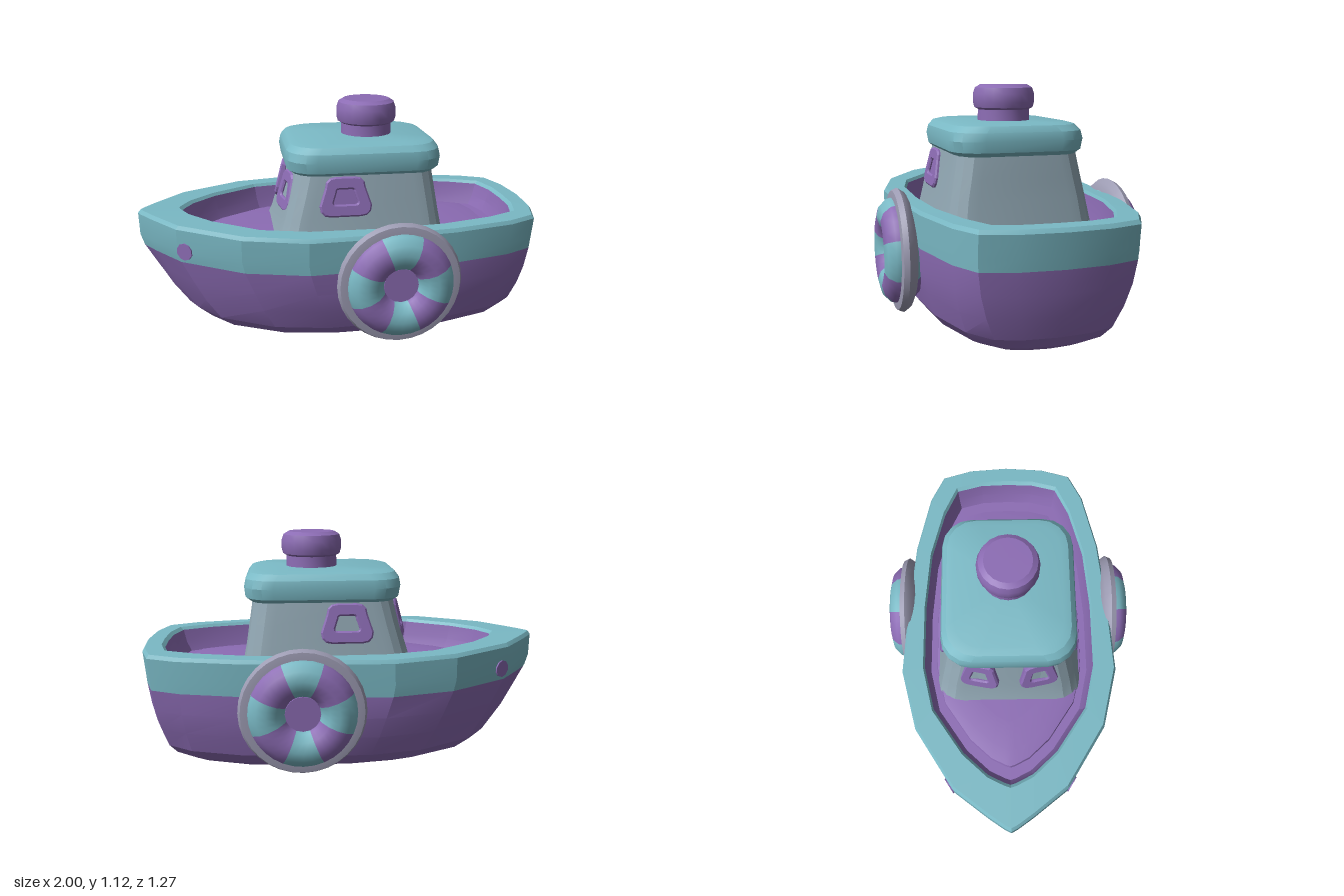
import * as THREE from 'three';
import { toCreasedNormals } from 'three/addons/utils/BufferGeometryUtils.js';

const material = (name, color) => {
  const m = new THREE.MeshStandardMaterial({ color });
  m.name = name;
  return m;
};

// Skin closed rings (counter-clockwise from above), bottom to top, with optional caps
function loft(rings, capBottom, capTop, crease = 0.3) {
  const n = rings[0].length, pos = rings.flat(2), idx = [];
  for (let r = 0; r < rings.length - 1; r++) {
    for (let i = 0; i < n; i++) {
      const j = (i + 1) % n, a = r * n + i, b = r * n + j;
      idx.push(a, b, b + n, a, b + n, a + n);
    }
  }
  const cap = (r, up) => {
    const c = pos.length / 3, ring = rings[r];
    for (let k = 0; k < 3; k++) pos.push(ring.reduce((s, p) => s + p[k], 0) / n);
    for (let i = 0; i < n; i++) {
      const a = r * n + i, b = r * n + (i + 1) % n;
      idx.push(c, ...(up ? [a, b] : [b, a]));
    }
  };
  if (capBottom) cap(0, false);
  if (capTop) cap(rings.length - 1, true);
  const g = new THREE.BufferGeometry();
  g.setAttribute('position', new THREE.Float32BufferAttribute(pos, 3));
  g.setIndex(idx);
  return toCreasedNormals(g, crease);
}

// Half outlines of the gunwale, bow (-x) to stern (+x), as [x, z]
const OUTER = [[-1, 0], [-0.985, 0.03], [-0.93, 0.11], [-0.8, 0.28], [-0.5, 0.47], [-0.2, 0.545], [0.15, 0.525],
  [0.5, 0.49], [0.8, 0.42], [0.94, 0.35], [0.985, 0.2], [1, 0]];
const INNER = [[-0.78, 0], [-0.77, 0.03], [-0.73, 0.11], [-0.62, 0.23], [-0.4, 0.38], [-0.18, 0.43], [0.15, 0.43],
  [0.45, 0.405], [0.7, 0.34], [0.85, 0.27], [0.885, 0.14], [0.89, 0]];

const mirrorRing = (half) => [...half, ...half.slice(1, -1).reverse().map(([x, y, z]) => [x, y, -z])];

// Hull ring between two x limits; round blends the pointed plan into an oval
function hullRing(y, bow, stern, width, round = 0) {
  return mirrorRing(OUTER.map(([u, z]) => {
    const oval = Math.pow(1 - Math.pow(Math.abs(u), 3), 1 / 2.2);
    const v = THREE.MathUtils.lerp(z / 0.545, Math.abs(u) === 1 ? 0 : oval, round);
    return [(bow + stern) / 2 + u * (stern - bow) / 2, y, v * width];
  }));
}
const sheer = (ring) => ring.map(([x, y, z]) => [x, y + 0.012 * Math.max(0, -x), z]);
const innerRing = (y, s) => mirrorRing(INNER.map(([x, z]) => [0.05 + (x - 0.05) * s, y, z * s]));

// Rounded rectangle ring for cabin and roof
function boxRing(y, x0, x1, hz, r) {
  const pts = [], cx = (x0 + x1) / 2, hx = (x1 - x0) / 2;
  for (let q = 0; q < 4; q++) {
    const sx = q === 0 || q === 3 ? 1 : -1, sz = q < 2 ? -1 : 1;
    for (let k = 0; k <= 4; k++) {
      const a = (q + k / 4) * Math.PI / 2;
      pts.push([cx + sx * (hx - r) + r * Math.cos(a), y, sz * (hz - r) - r * Math.sin(a)]);
    }
  }
  return pts;
}

// Rounded trapezoid outline for windows
function windowPath(Type, w, h, c) {
  const p = new Type(), b = w / 2, t = w / 2 - 0.12 * w, k = h / 2;
  p.moveTo(-b + c, -k);
  p.lineTo(b - c, -k);
  p.quadraticCurveTo(b, -k, b, -k + c);
  p.lineTo(t, k - c);
  p.quadraticCurveTo(t, k, t - c, k);
  p.lineTo(-t + c, k);
  p.quadraticCurveTo(-t, k, -t, k - c);
  p.lineTo(-b, -k + c);
  p.quadraticCurveTo(-b, -k, -b + c, -k);
  return p;
}

export function createModel() {
  const purple = material('purple', 0x8c6cb4);
  const teal = material('teal', 0x7ab9c5);
  const grey = material('blue grey', 0x8fa5b1);
  const lilac = material('lilac grey', 0x9c9bb2);
  const boat = new THREE.Group();
  boat.name = 'tugboat';
  const add = (name, geometry, mat, parent = boat) => {
    const m = new THREE.Mesh(geometry, mat);
    m.name = name;
    parent.add(m);
    return m;
  };

  // Hull
  add('lowerHull', loft([
    hullRing(0, -0.36, 0.7, 0.27, 0.8),
    hullRing(0.015, -0.57, 0.82, 0.36, 0.7),
    hullRing(0.05, -0.71, 0.885, 0.425, 0.55),
    hullRing(0.1, -0.78, 0.92, 0.47, 0.4),
    hullRing(0.2, -0.86, 0.95, 0.505, 0.2),
    hullRing(0.3, -0.92, 0.97, 0.53, 0.08),
    hullRing(0.405, -0.98, 0.985, 0.54),
  ], true, false), purple);
  add('gunwale', loft([
    hullRing(0.405, -0.98, 0.985, 0.54),
    hullRing(0.46, -0.997, 0.99, 0.543),
    sheer(hullRing(0.56, -1, 1, 0.545)),
    sheer(hullRing(0.578, -0.985, 0.988, 0.535)),
    sheer(innerRing(0.58, 1.02)),
    sheer(innerRing(0.565, 1)),
  ], false, false), teal);

  // Inner walls, deck and its raised middle
  add('deckWell', loft([
    sheer(innerRing(0.565, 1)), innerRing(0.5, 0.98), innerRing(0.45, 0.95),
  ], false, true), purple);
  add('raisedDeck', loft([
    innerRing(0.44, 0.88), innerRing(0.465, 0.87), innerRing(0.475, 0.78), innerRing(0.48, 0.6),
  ], false, true), purple);

  // Cabin and roof
  add('cabin', loft([
    boxRing(0.44, -0.35, 0.51, 0.37, 0.13),
    boxRing(0.5, -0.32, 0.5, 0.357, 0.13),
    boxRing(0.6, -0.29, 0.48, 0.338, 0.12),
    boxRing(0.7, -0.262, 0.465, 0.318, 0.12),
    boxRing(0.83, -0.23, 0.445, 0.295, 0.12),
  ], false, false), grey);
  add('roof', loft([
    boxRing(0.8, -0.235, 0.455, 0.295, 0.12),
    boxRing(0.82, -0.265, 0.483, 0.318, 0.14),
    boxRing(0.87, -0.272, 0.488, 0.326, 0.14),
    boxRing(0.91, -0.265, 0.48, 0.318, 0.14),
    boxRing(0.938, -0.245, 0.46, 0.295, 0.14),
    boxRing(0.948, -0.21, 0.43, 0.26, 0.13),
  ], true, true, 0.45), teal);

  // Chimney with its rounded cap
  const chimney = [[0.128, 0.93], [0.125, 1], [0.143, 1.01], [0.15, 1.035], [0.15, 1.075], [0.14, 1.105],
    [0.115, 1.12], [0, 1.121]].map(([r, y]) => new THREE.Vector2(r, y));
  add('chimney', toCreasedNormals(new THREE.LatheGeometry(chimney, 20), 0.5), purple).position.x = 0.155;

  // Windows: raised frame around a thin pane
  const addWindow = (name, x, y, z, yaw, tilt, w, h, pane) => {
    const g = new THREE.Group();
    g.name = name;
    const shape = windowPath(THREE.Shape, w, h, 0.045);
    shape.holes.push(windowPath(THREE.Path, w * 0.56, h * 0.5, 0.02));
    const frame = new THREE.ExtrudeGeometry(shape, {
      depth: 0.02, bevelEnabled: true, bevelSize: 0.008, bevelThickness: 0.008, bevelSegments: 1, curveSegments: 3,
    });
    add('windowFrame', frame, purple, g).position.z = -0.008;
    add('windowPane', new THREE.ShapeGeometry(windowPath(THREE.Shape, w * 0.65, h * 0.6, 0.02)), pane, g).position.z = 0.006;
    g.rotation.set(-tilt, yaw, 0, 'YXZ');
    g.position.set(x, y, z);
    boat.add(g);
  };
  addWindow('leftWindow', 0, 0.705, 0.314, 0, 0.19, 0.235, 0.175, purple);
  addWindow('rightWindow', 0, 0.705, -0.314, Math.PI, 0.19, 0.235, 0.175, grey);
  for (const s of [1, -1]) {
    addWindow('bowWindow', -0.258, 0.7, s * 0.145, -Math.PI / 2 + s * 0.2, 0.24, 0.18, 0.18, grey);
  }

  // Life rings on both sides, each with a backing disc and eight stripes
  const disc = [[0, 0.47], [0.22, 0.485], [0.275, 0.51], [0.295, 0.54], [0.283, 0.565], [0.25, 0.57], [0, 0.56]]
    .map(([r, y]) => new THREE.Vector2(r, y));
  for (const s of [1, -1]) {
    const g = new THREE.Group();
    g.name = 'lifeRing';
    g.position.set(0.22, 0.345, 0);
    g.rotation.y = s > 0 ? 0 : Math.PI;
    add('backingDisc', toCreasedNormals(new THREE.LatheGeometry(disc, 32), 0.6), lilac, g).rotation.x = Math.PI / 2;
    for (let k = 0; k < 8; k++) {
      const stripe = add('ringStripe', new THREE.TorusGeometry(0.166, 0.09, 12, 4, Math.PI / 4), k % 2 ? purple : teal, g);
      stripe.rotation.z = (k - 0.5) * Math.PI / 4;
      stripe.position.z = 0.545;
    }
    const hub = add('ringHub', new THREE.CylinderGeometry(0.082, 0.082, 0.04, 16), purple, g);
    hub.rotation.x = Math.PI / 2;
    hub.position.z = 0.555;
    boat.add(g);

    // Round bow mark
    const mark = add('bowMark', new THREE.CylinderGeometry(0.042, 0.042, 0.009, 10).rotateX(Math.PI / 2), purple);
    mark.position.set(-0.764, 0.465, s * 0.3035);
    mark.rotation.y = s > 0 ? -0.565 : Math.PI + 0.565;
  }
  return boat;
}
